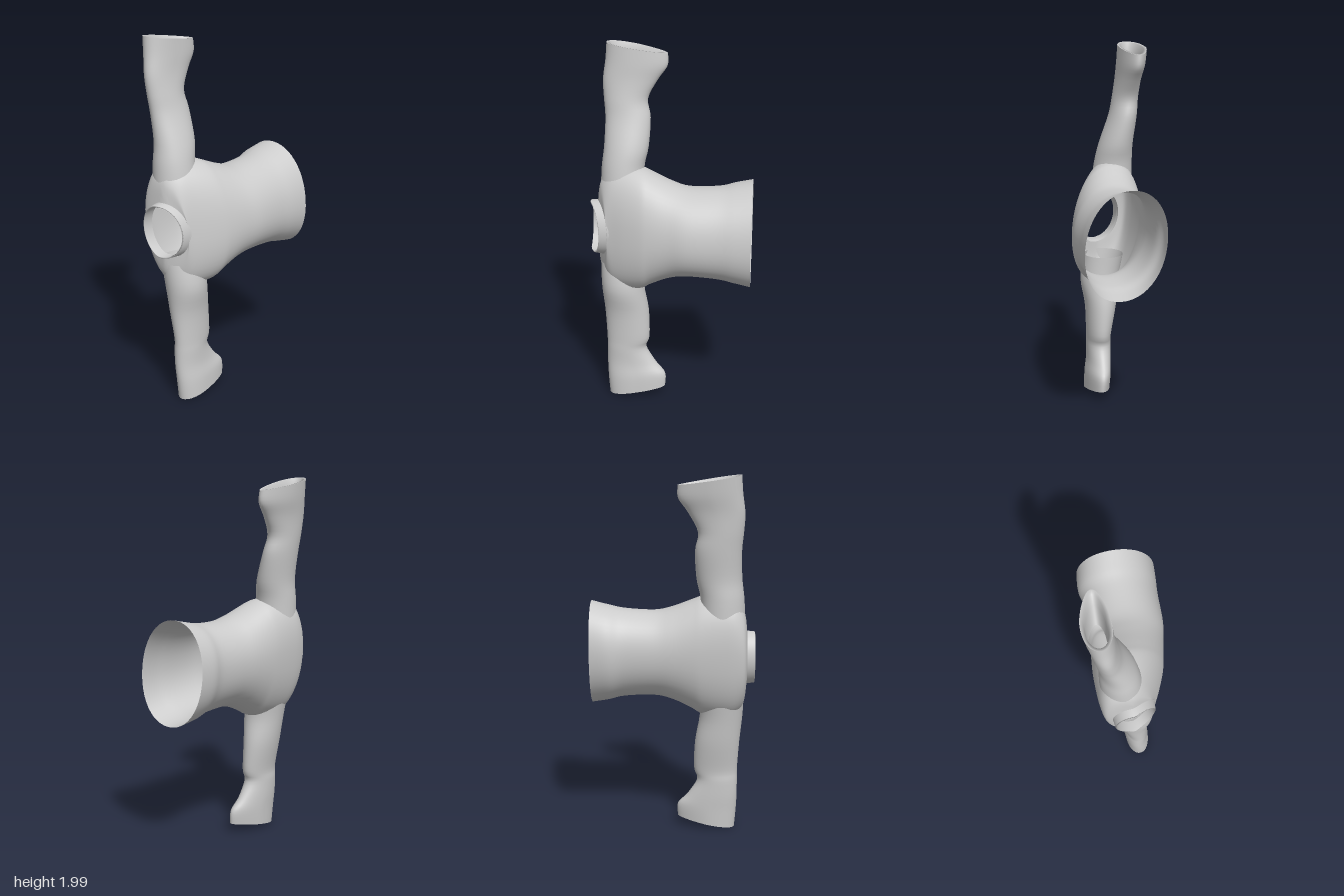
import * as THREE from 'three';

const material = new THREE.MeshStandardMaterial({ color: 0xcccccc, side: THREE.DoubleSide });

// Smoothly interpolates rows of section parameters.
function refine(rows, steps) {
  const out = [];
  for (let i = 0; i < rows.length - 1; i++) {
    const a = rows[Math.max(i - 1, 0)], b = rows[i], c = rows[i + 1], d = rows[Math.min(i + 2, rows.length - 1)];
    for (let s = 0; s < steps; s++) {
      const t = s / steps;
      out.push(b.map((v, k) => v + 0.5 * t * (c[k] - a[k]
        + t * (2 * a[k] - 5 * v + 4 * c[k] - d[k] + t * (3 * (v - c[k]) + d[k] - a[k])))));
    }
  }
  out.push(rows[rows.length - 1]);
  return out;
}

// Skins closed rings; pointAt(row, angle) gives one point of a ring.
function loft(name, rows, pointAt, flip = false, sides = 48) {
  const positions = [], index = [];
  rows.forEach((row, r) => {
    for (let i = 0; i < sides; i++) {
      positions.push(...pointAt(row, (i / sides) * Math.PI * 2));
      if (r === rows.length - 1) continue;
      const a = r * sides + i, b = r * sides + (i + 1) % sides, c = a + sides, d = b + sides;
      if (flip) index.push(a, c, b, b, c, d);
      else index.push(a, b, c, b, d, c);
    }
  });
  const geometry = new THREE.BufferGeometry();
  geometry.setAttribute('position', new THREE.Float32BufferAttribute(positions, 3));
  geometry.setIndex(index);
  geometry.computeVertexNormals();
  const mesh = new THREE.Mesh(geometry, material);
  mesh.name = name;
  return mesh;
}

const power = (v, p) => Math.sign(v) * Math.abs(v) ** p;

// Torso ring: z, centre x, half x, centre y, half y, roundness, neck slope.
function torsoPoint([z, cx, hx, cy, hy, p, slope], a) {
  const dy = hy * power(Math.sin(a), p);
  const x = cx + hx * power(Math.cos(a), p) - 0.1 * dy;
  return [x, cy + dy, z - slope * Math.max(0, x + 0.03)];
}

// Sleeve ring: y, centre x, half x, back z, front z, rim slope, back pinch.
function sleevePoint([y, cx, hx, z0, z1, slope, pinch], a) {
  const c = Math.cos(a), s = Math.sin(a);
  const z = (z0 + z1) / 2 + s * (z1 - z0) / 2;
  const x = cx + hx * c * (1 + pinch * s) - pinch * 0.05 * Math.min(0, s);
  return [x, y + slope * (z - 0.2), z];
}

export function createModel() {
  const group = new THREE.Group();
  group.name = 'pullover';

  // Body from the open hem to the shoulders and neck
  const torso = [
    [-0.44, 0.037, 0.217, 1.017, 0.288, 0.95, 0],
    [-0.35, 0.030, 0.218, 1.015, 0.268, 0.95, 0],
    [-0.26, 0.035, 0.205, 1.015, 0.248, 0.95, 0],
    [-0.10, 0.030, 0.205, 1.015, 0.240, 0.95, 0],
    [0.00, 0.015, 0.200, 1.017, 0.262, 0.95, 0],
    [0.10, 0.000, 0.195, 1.015, 0.305, 0.93, 0],
    [0.16, -0.010, 0.188, 1.010, 0.333, 0.9, 0],
    [0.25, -0.030, 0.168, 1.010, 0.343, 0.88, 0],
    [0.33, -0.045, 0.148, 1.010, 0.330, 0.88, 0.1],
    [0.385, -0.043, 0.135, 1.005, 0.260, 0.92, 0.35],
    [0.402, -0.022, 0.120, 1.005, 0.150, 1, 0.5],
  ];
  group.add(loft('torso', refine(torso, 5), torsoPoint));

  // Collar band with thickness
  const collar = [
    [0.385, -0.022, 0.121, 1.005, 0.150, 1, 0.5],
    [0.443, -0.022, 0.114, 1.005, 0.144, 1, 0.5],
    [0.445, -0.022, 0.108, 1.005, 0.137, 1, 0.5],
    [0.385, -0.022, 0.109, 1.005, 0.138, 1, 0.5],
  ];
  group.add(loft('collar', collar, torsoPoint));

  // Sleeves flare into slanted cuffs whose rims fold inward
  const leftSleeve = [
    [1.20, -0.070, 0.115, 0.150, 0.390, 0, 0],
    [1.34, -0.080, 0.105, 0.150, 0.383, 0, 0],
    [1.45, -0.092, 0.092, 0.128, 0.370, 0, 0],
    [1.60, -0.128, 0.075, 0.120, 0.365, 0, 0],
    [1.70, -0.145, 0.068, 0.135, 0.373, 0, 0],
    [1.80, -0.158, 0.065, 0.085, 0.378, 0, 0.1],
    [1.89, -0.170, 0.070, 0.032, 0.365, 0.08, 0.2],
    [1.972, -0.178, 0.072, 0.030, 0.358, 0.16, 0.25],
  ];
  const rightSleeve = [
    [0.81, -0.025, 0.110, 0.150, 0.390, 0, 0],
    [0.67, 0.000, 0.108, 0.150, 0.385, 0, 0],
    [0.52, 0.000, 0.087, 0.125, 0.370, 0, 0],
    [0.36, 0.013, 0.068, 0.120, 0.360, 0, 0],
    [0.29, 0.013, 0.067, 0.138, 0.360, 0, 0],
    [0.20, 0.015, 0.066, 0.085, 0.360, 0, 0.1],
    [0.12, 0.024, 0.068, 0.030, 0.356, -0.1, 0.2],
    [0.03, 0.029, 0.066, 0.030, 0.348, -0.18, 0.25],
  ];
  const sleeves = [['leftSleeve', leftSleeve, 1], ['rightSleeve', rightSleeve, -1]];
  for (const [name, rows, dir] of sleeves) {
    group.add(loft(name, refine(rows, 4), sleevePoint, dir > 0));
    const [y, cx, hx, z0, z1, slope, pinch] = rows[rows.length - 1];
    const fold = [[0, 0], [-0.002, 0.016], [-0.06, 0.02], [-0.16, 0.028]].map(([d, inset]) =>
      [y + dir * d, cx, hx - inset, z0 + inset * 1.6 - d * 0.5, z1 - inset, slope, pinch]);
    group.add(loft(name + 'CuffLining', fold, sleevePoint, dir > 0));
  }
  return group;
}
